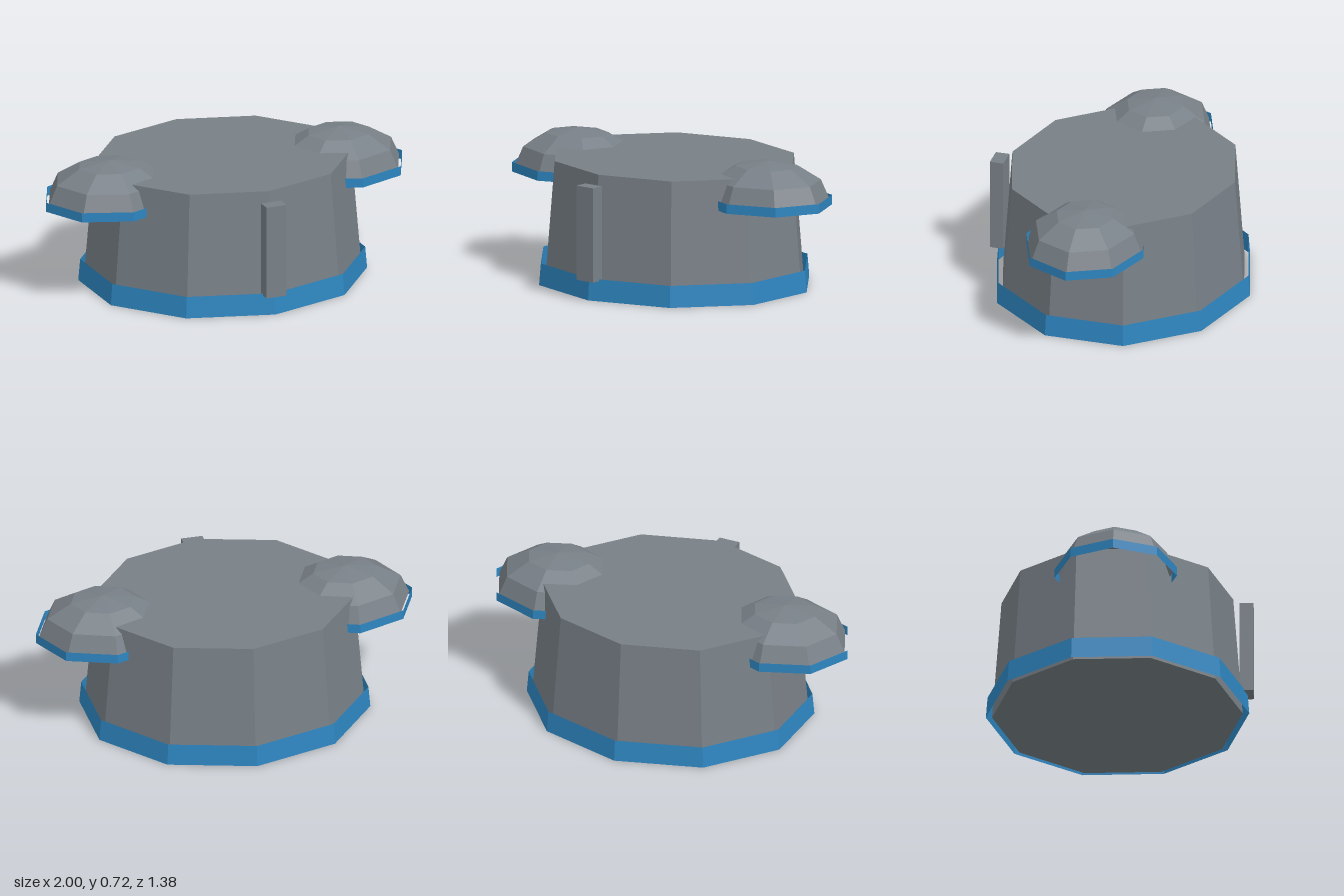
import * as THREE from 'three';

export function createModel() {
  const model = new THREE.Group();
  const options = { flatShading: true, side: THREE.DoubleSide };
  const grey = new THREE.MeshStandardMaterial({ color: 0x788087, ...options });
  grey.name = 'grey';
  const blue = new THREE.MeshStandardMaterial({ color: 0x2e86c1, ...options });
  blue.name = 'blue';

  function add(parent, name, geometry, material, x, y, z) {
    const mesh = new THREE.Mesh(geometry, material);
    mesh.name = name;
    mesh.position.set(x, y, z);
    parent.add(mesh);
    return mesh;
  }

  // Tapered ten-sided wall, slightly wider than deep, standing on y = 0
  function wall(top, bottom, height, sides, open) {
    return new THREE.CylinderGeometry(top, bottom, height, sides, 1, open)
      .translate(0, height / 2, 0);
  }

  // Main body
  const body = add(model, 'body', wall(0.675, 0.73, 0.648, 10, false), grey, 0, 0, -0.013);
  body.scale.z = 0.885;

  // Thin open band around the foot of the body
  const skirt = add(model, 'baseBand', wall(0.747, 0.757, 0.114, 10, true), blue, 0, 0, -0.012);
  skirt.scale.z = 0.897;

  // Upright post at the front
  add(model, 'frontPost', new THREE.BoxGeometry(0.112, 0.496, 0.072), grey, -0.003, 0.352, 0.654);

  // Side domes, each a hollow half shell with a loose open band at its rim
  for (const side of [1, -1]) {
    const pod = new THREE.Group();
    pod.name = side > 0 ? 'leftDome' : 'rightDome';
    pod.position.set(side * 0.644, 0, 0.005);
    model.add(pod);

    const shell = new THREE.SphereGeometry(1, 8, 3, 0, Math.PI * 2, 0, Math.PI / 2);
    add(pod, 'domeShell', shell, grey, 0, 0.52, 0).scale.set(0.34, 0.2, 0.304);

    const rim = add(pod, 'domeBand', wall(0.356, 0.356, 0.05, 8, true), blue, 0, 0.488, 0);
    rim.scale.z = 0.885;
  }

  return model;
}
